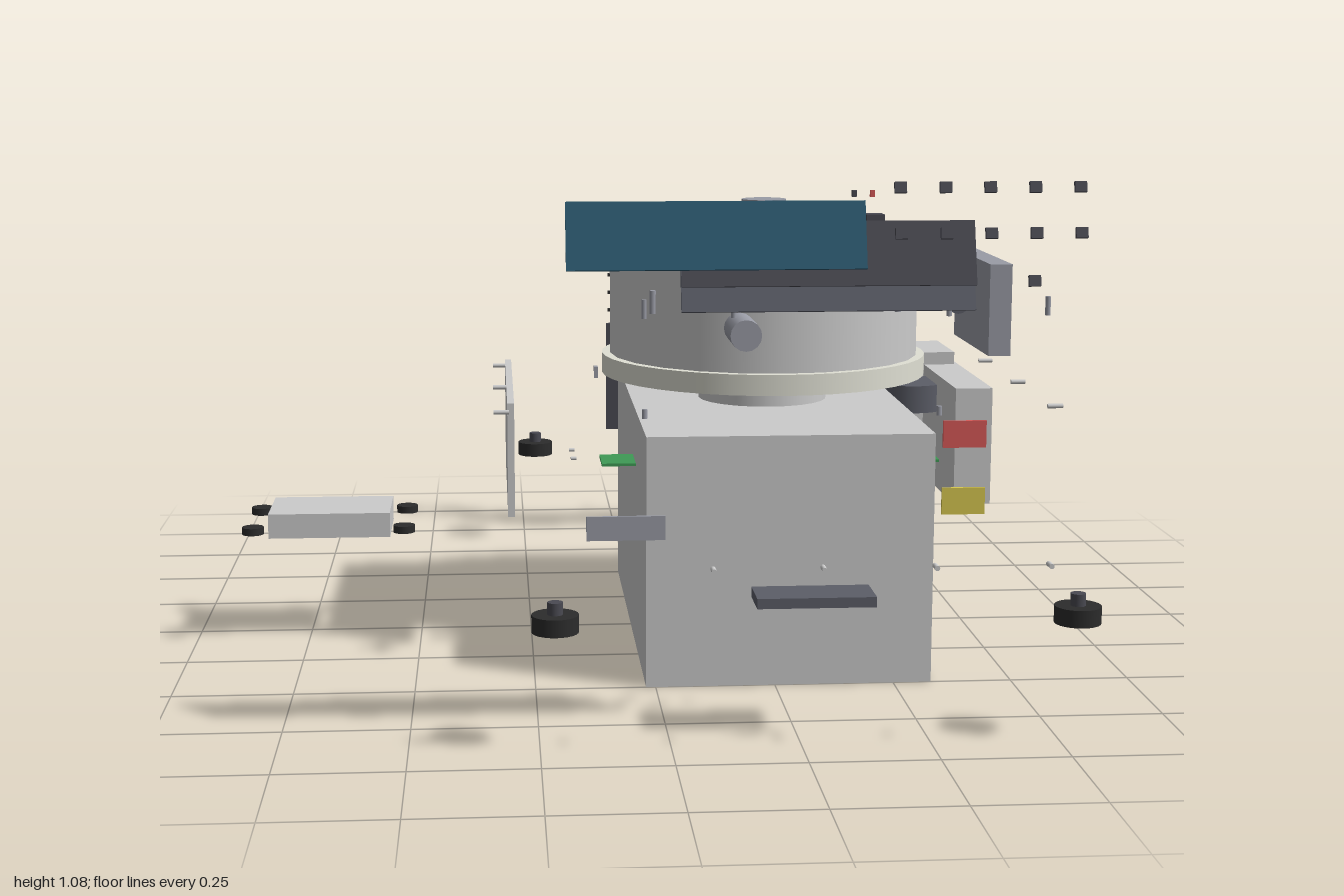
import * as THREE from 'three';

export function createModel() {
  const root = new THREE.Group();
  const mats = {};
  const mat = (color) => (mats[color] ??= new THREE.MeshStandardMaterial({ color }));
  const GREY = 0xcccccc, LIGHT = 0xe4e4e4, CREAM = 0xe0e0d4, STEEL = 0x9a9ca6;
  const SLATE = 0x5c5e68, DARK = 0x4a4a52, BLACK = 0x2c2c2c;

  function add(name, geo, color, x, y, z, parent = root) {
    const m = new THREE.Mesh(geo, mat(color));
    m.name = name;
    m.position.set(x, y, z);
    parent.add(m);
    return m;
  }
  // box given by its extents on each axis
  const box = (name, [x0, x1], [y0, y1], [z0, z1], color = GREY) =>
    add(name, new THREE.BoxGeometry(x1 - x0, y1 - y0, z1 - z0), color,
      (x0 + x1) / 2, (y0 + y1) / 2, (z0 + z1) / 2);
  // box given by centre and size
  const block = (name, x, y, z, w, h, d, color = GREY, parent = root) =>
    add(name, new THREE.BoxGeometry(w, h, d), color, x, y, z, parent);
  // upright cylinder from y0 to y1
  const cyl = (name, x, z, r, y0, y1, color = GREY, sides = 24) =>
    add(name, new THREE.CylinderGeometry(r, r, y1 - y0, sides), color, x, (y0 + y1) / 2, z);
  // cylinder lying along x or z
  function rod(name, axis, x, y, z, r, len, color = GREY) {
    const m = add(name, new THREE.CylinderGeometry(r, r, len, 16), color, x, y, z);
    if (axis === 'x') m.rotation.z = Math.PI / 2;
    else m.rotation.x = Math.PI / 2;
    return m;
  }
  const CX = 0.28; // axis of the rotor chamber

  // main cabinet
  box('cabinet', [-0.02, 0.58], [0, 0.53], [-0.5, 0.5]);

  // chamber: neck, flange, drum and gasket
  cyl('neck', CX, 0, 0.145, 0.53, 0.6, GREY);
  cyl('flange', CX, 0, 0.365, 0.59, 0.635, CREAM, 40);
  cyl('chamberDrum', CX, 0, 0.347, 0.635, 0.872, GREY);
  cyl('gasket', CX, 0, 0.337, 0.872, 0.885, BLACK, 32);

  // lid: square plate, disc, sealing rim, hub and sensor
  box('lidPlate', [-0.01, 0.57], [0.885, 0.905], [-0.29, 0.29], DARK);
  cyl('lidDisc', CX, 0, 0.28, 0.905, 0.92, DARK, 48);
  const rim = add('lidRim', new THREE.TorusGeometry(0.285, 0.008, 8, 64), BLACK, CX, 0.915, 0);
  rim.rotation.x = Math.PI / 2;
  cyl('hub', CX, 0, 0.05, 0.92, 0.98, STEEL);
  block('lidSensor', 0.51, 0.937, 0.125, 0.04, 0.035, 0.04, DARK);

  // chamber pins
  for (const x of [0.01, 0.54])
    for (const z of [-0.265, 0.265]) cyl('chamberPin', x, z, 0.007, 0.755, 0.805, STEEL, 10);

  // cooling unit behind and beside the cabinet
  box('coolingBox', [0.55, 0.8], [0.285, 0.575], [-0.565, -0.36]);
  cyl('compressor', 0.67, -0.265, 0.087, 0.455, 0.52, SLATE, 32);
  box('condenser', [0.725, 0.81], [0.275, 0.545], [-0.43, 0.015]);
  box('fanPanel', [0.797, 0.848], [0.62, 0.83], [-0.355, 0.018], STEEL);

  // left side cover with its screws on both sides
  box('sideCover', [-0.302, -0.287], [0.31, 0.56], [-0.41, 0.24]);
  for (const x of [-0.315, 0.872])
    for (const z of [-0.335, 0, 0.335]) rod('coverScrew', 'x', x, 0.557, z, 0.005, 0.033);

  // circuit board
  box('circuitBoard', [-0.095, 0.655], [0.407, 0.413], [0.07, 0.18], 0x3f9a55);

  // rear panel, louvres and connectors
  box('rearPanel', [-0.025, 0.565], [0.285, 0.575], [-0.976, -0.964], DARK);
  for (let i = 0; i < 5; i++)
    block('louvre', 0.075, 0.61 + i * 0.048, -0.975, 0.19, 0.008, 0.012, BLACK);
  rod('powerSocket', 'z', 0.115, 0.49, -0.975, 0.022, 0.045, DARK);
  block('rearSwitch', 0.635, 0.43, -0.985, 0.05, 0.05, 0.02, DARK);
  block('rearFuse', 0.445, 0.68, -0.98, 0.03, 0.025, 0.02, DARK);
  for (const x of [-0.052, 0.15]) block('rearClip', x, 0.44, -0.985, 0.01, 0.03, 0.025, STEEL);

  // four levelling feet
  for (const x of [-0.22, 0.78])
    for (const z of [-0.895, 0.895]) {
      cyl('foot', x, z, 0.045, 0.232, 0.266, BLACK);
      cyl('footStud', x, z, 0.015, 0.266, 0.29, DARK, 12);
    }

  // separate small base with pads
  box('smallBase', [-0.835, -0.565], [0.235, 0.29], [-0.095, 0.09], LIGHT);
  for (const x of [-0.867, -0.533])
    for (const z of [-0.105, 0.105]) cyl('smallBasePad', x, z, 0.024, 0.25, 0.266, BLACK, 20);

  // front tray and plates
  box('frontTray', [0.165, 0.395], [0.264, 0.284], [0.78, 0.877], SLATE);
  box('frontPlate', [-0.165, -0.02], [0.43, 0.475], [0.992, 0.998], STEEL);
  box('redPlate', [0.49, 0.57], [0.595, 0.645], [0.992, 0.998], 0xd85a58);
  box('yellowPlate', [0.49, 0.57], [0.47, 0.52], [0.992, 0.998], 0xd8c850);
  for (const x of [0.07, 0.275, 0.485, 0.7]) rod('frontScrew', 'z', x, 0.368, 0.985, 0.005, 0.025);

  // tilted control panel, screen and keys
  const tilt = -0.29;
  const panel = block('controlPanel', 0.28, 0.925, 0.95, 0.54, 0.165, 0.008, SLATE);
  const screen = block('screen', 0.073, 0.985, 0.974, 0.545, 0.126, 0.008, 0x2c5a70);
  const bezel = block('panelBacking', 0.28, 0.95, 0.962, 0.54, 0.12, 0.006, DARK);
  for (const m of [panel, screen, bezel]) m.rotation.x = tilt;
  const key = (x, y, z) => { block('key', x, y, z, 0.022, 0.02, 0.008, DARK).rotation.x = tilt; };
  for (const x of [0.407, 0.49, 0.572, 0.655, 0.738]) {
    key(x, 1.07, 0.972);
    key(x, 0.988, 0.99);
  }
  key(0.655, 0.9, 0.985);
  block('redLamp', 0.355, 1.06, 0.975, 0.008, 0.012, 0.008, 0xd85a58);
  block('lamp', 0.322, 1.06, 0.975, 0.008, 0.012, 0.008, DARK);

  // lid lock parts in front of the chamber
  rod('lockMotor', 'z', 0.175, 0.748, 0.517, 0.032, 0.125, STEEL);
  rod('gasSpring', 'z', 0.612, 0.808, 0.457, 0.024, 0.165, SLATE);
  block('lockBar', 0.28, 0.938, 0.437, 0.115, 0.012, 0.033, BLACK);
  block('lockPlate', 0.28, 0.9, 0.495, 0.06, 0.02, 0.02, STEEL);
  block('lockSwitch', 0.28, 0.83, 0.56, 0.06, 0.015, 0.02, STEEL);
  block('lockSensor', 0.425, 0.82, 0.54, 0.018, 0.01, 0.018, 0x3f9a55);
  for (const x of [0.09, 0.465]) {
    rod('hingePin', 'x', x, 0.9, 0.497, 0.006, 0.1, STEEL);
    block('hingeLatch', x, 0.9, 0.497, 0.035, 0.03, 0.03, DARK);
    rod('hingeScrew', 'z', x, 0.905, 0.497, 0.006, 0.075, STEEL);
  }
  for (const x of [-0.055, 0.11, 0.51, 0.695]) cyl('lockScrew', x, 0.93, 0.005, 0.83, 0.865, STEEL, 10);

  // small screws beside the cabinet
  for (const z of [0.1, 0.2]) rod('boardScrew', 'x', -0.158, 0.43, z, 0.004, 0.012);
  for (const x of [-0.012, 0.62])
    for (const z of [-0.335, 0.335]) cyl('cabinetScrew', x, z, 0.006, 0.54, 0.56, STEEL, 10);
  return root;
}
